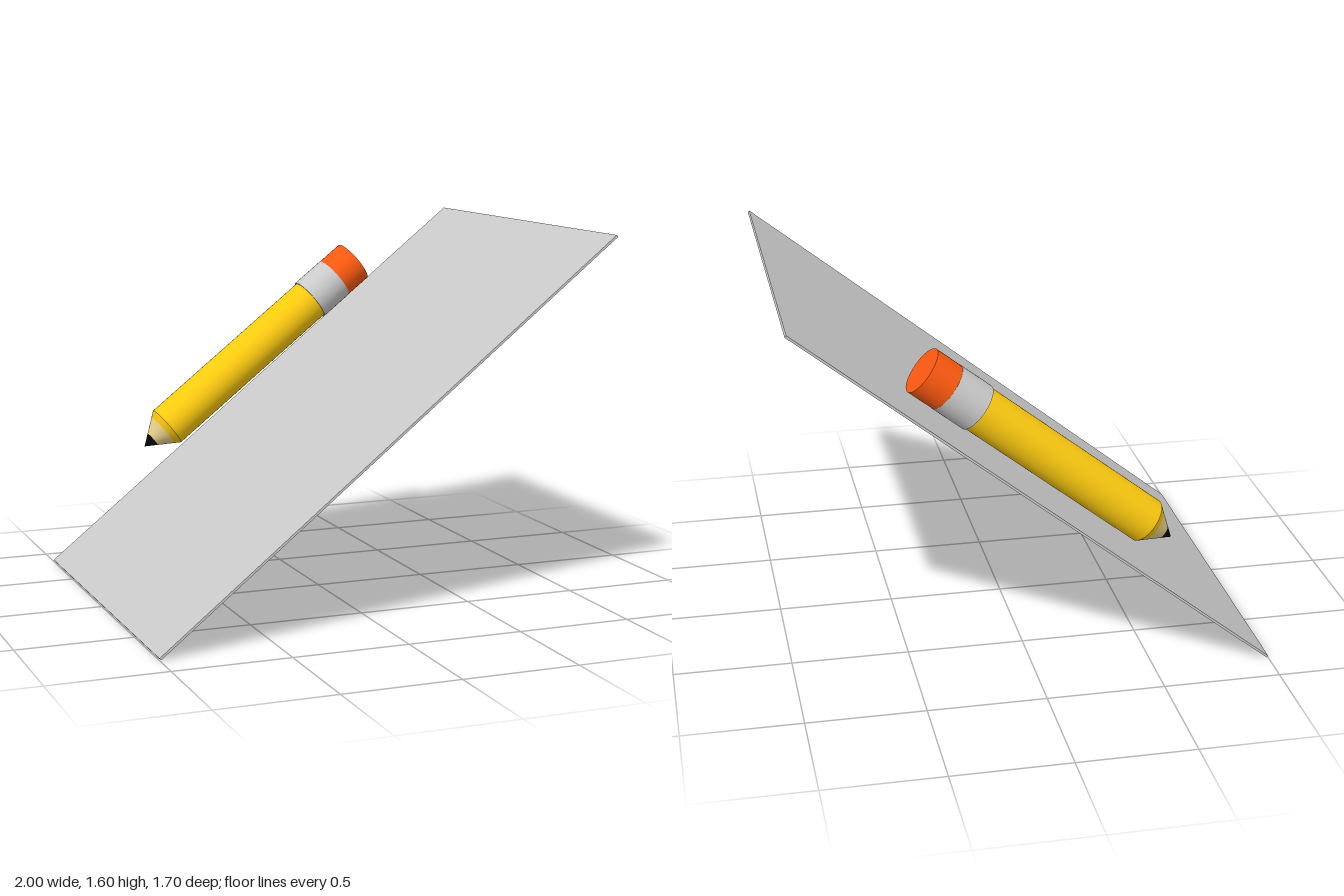
import * as THREE from 'three';

const material = (color) => new THREE.MeshStandardMaterial({ color });

export function createModel() {
  const model = new THREE.Group();
  model.name = 'pencilAndPaper';
  const slope = Math.atan(0.8);

  // Thin sloping sheet
  const thickness = 0.01;
  const length = (2 - thickness * Math.sin(slope)) / Math.cos(slope);
  const height = length * Math.sin(slope) + thickness * Math.cos(slope);
  const paper = new THREE.Mesh(new THREE.BoxGeometry(length, thickness, 1.695), material(0xcccccc));
  paper.name = 'paper';
  paper.rotation.z = slope;
  paper.position.y = height / 2;
  model.add(paper);

  // Pencil, built upwards from its tip along local y
  const pencil = new THREE.Group();
  pencil.name = 'pencil';
  const yellow = 0xffcc10;
  const sections = [
    // name, start, end, start radius, end radius, colour
    ['lead', 0, 0.05, 0, 0.035, 0x050505],
    ['sharpenedWood', 0.05, 0.112, 0.035, 0.078, 0xf0d890],
    ['paintedShoulder', 0.112, 0.14, 0.078, 0.098, yellow],
    ['body', 0.14, 1.055, 0.098, 0.098, yellow],
    ['ferrule', 1.05, 1.207, 0.104, 0.104, 0xcccccc],
    ['eraser', 1.207, 1.331, 0.103, 0.103, 0xff5a10],
  ];
  for (const [name, start, end, r0, r1, color] of sections) {
    const part = new THREE.Mesh(new THREE.CylinderGeometry(r1, r0, end - start, 40), material(color));
    part.name = name;
    part.position.y = (start + end) / 2;
    pencil.add(part);
  }
  pencil.position.set(-0.59, 0.545, -0.71);
  pencil.rotation.z = THREE.MathUtils.degToRad(38.3 - 90);
  model.add(pencil);

  return model;
}
